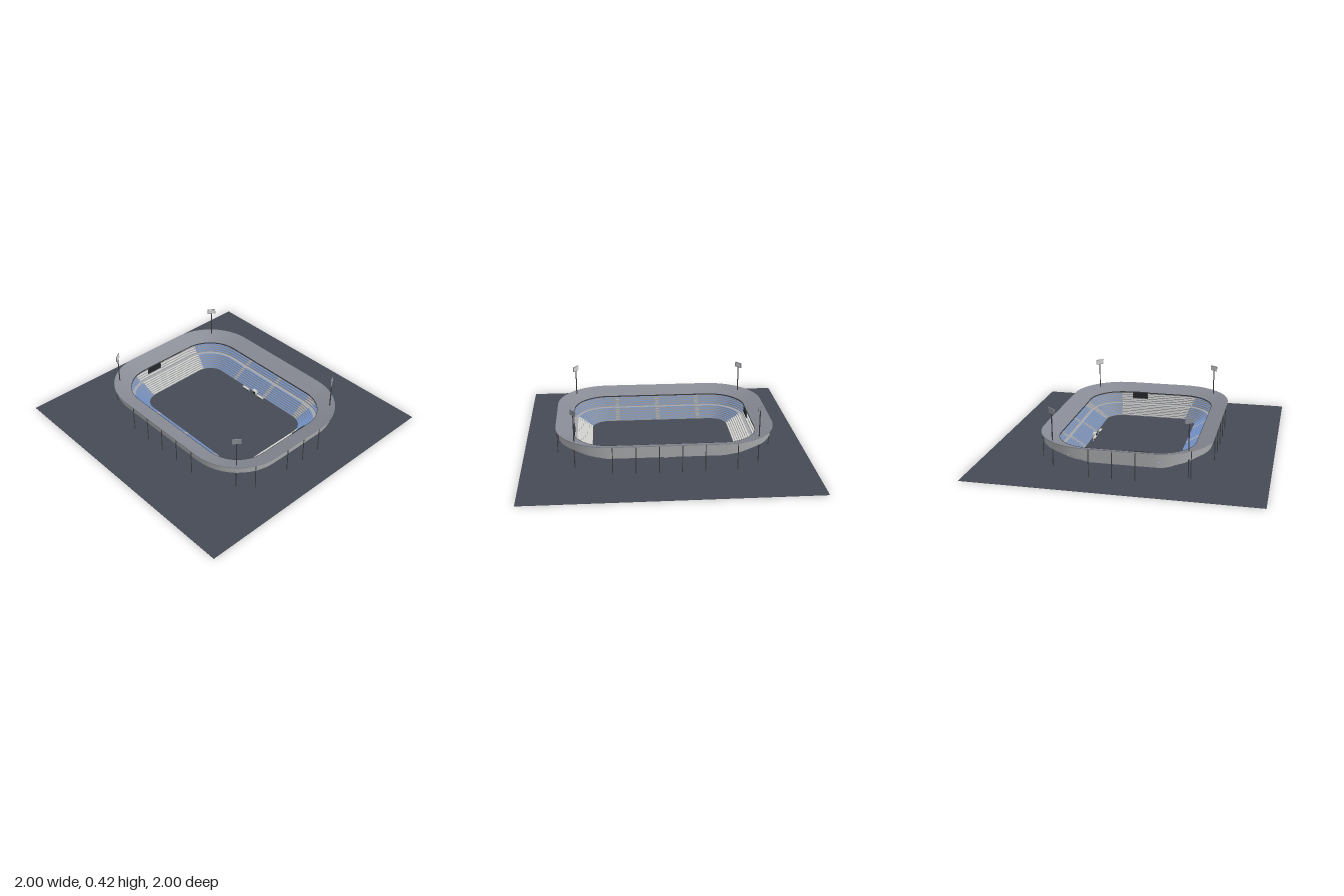
import * as THREE from 'three';
import { mergeGeometries, toCreasedNormals } from 'three/addons/utils/BufferGeometryUtils.js';

const HX = 0.39, HZ = 0.225;                       // straight half lengths
const CORNERS = [[-1, 1], [1, 1], [1, -1], [-1, -1]];

// Point on the rounded rectangle at distance r outside its core.
// t runs 0..8 round the bowl: even spans are straights, odd spans are corners.
function at(t, r) {
  t = ((t % 8) + 8) % 8;
  const k = Math.floor(t), f = t - k, i = k >> 1;
  const a = CORNERS[i], b = CORNERS[(i + 1) % 4];
  const g = k % 2 ? 1 : f;
  const phi = (i + (k % 2 ? f : 0)) * Math.PI / 2;
  return [
    HX * (a[0] + (b[0] - a[0]) * g) + r * Math.sin(phi),
    HZ * (a[1] + (b[1] - a[1]) * g) + r * Math.cos(phi),
  ];
}

// Sweep an [r, y] profile along the outline from t0 to t1.
function sweep(profile, t0 = 0, t1 = 8) {
  const ts = [t0];
  for (let n = Math.floor(t0 * 12) + 1; n / 12 < t1 - 1e-6; n++) {
    const k = Math.floor(n / 12);
    if (n % 12 === 0 || Math.abs(k % 2) === 1) ts.push(n / 12);
  }
  ts.push(t1);
  const pos = [], idx = [], m = profile.length;
  ts.forEach((t, j) => {
    for (const [r, y] of profile) {
      const [x, z] = at(t, r);
      pos.push(x, y, z);
    }
    if (j === 0) return;
    for (let p = 0; p < m - 1; p++) {
      const a = (j - 1) * m + p, b = j * m + p;
      idx.push(a, b, a + 1, b, b + 1, a + 1);
    }
  });
  const geo = new THREE.BufferGeometry();
  geo.setAttribute('position', new THREE.Float32BufferAttribute(pos, 3));
  geo.setIndex(idx);
  return toCreasedNormals(geo, 0.35);
}

export function createModel() {
  const model = new THREE.Group();
  const mat = (name, color) => {
    const m = new THREE.MeshStandardMaterial({ color, side: THREE.DoubleSide });
    m.name = name;
    return m;
  };
  const asphalt = mat('asphalt', 0x444a54);
  const concrete = mat('concrete', 0xa5a6a9);
  const roofGrey = mat('roof grey', 0x878a94);
  const blue = mat('blue seats', 0x6f8cbf);
  const white = mat('white seats', 0xd0d0cd);
  const steel = mat('dark steel', 0x3c3d40);
  const screen = mat('screen', 0x24272c);

  const add = (name, geo, material, parent = model) => {
    const mesh = new THREE.Mesh(geo, material);
    mesh.name = name;
    parent.add(mesh);
    return mesh;
  };
  const box = (name, size, p, material, parent) => {
    const mesh = add(name, new THREE.BoxGeometry(...size), material, parent);
    mesh.position.set(...p);
    return mesh;
  };

  box('ground', [2, 0.002, 2], [0, 0.001, 0], asphalt);

  // Stepped rows of the lower and upper tiers
  const treads = [], risers = [];
  const tier = (rows, r0, r1, y0, y1) => {
    const d = (r1 - r0) / rows, h = (y1 - y0) / rows;
    for (let i = 0; i < rows; i++) {
      const r = r0 + i * d, y = y0 + (i + 1) * h;
      risers.push([[r, y - h], [r, y]]);
      treads.push([[r, y], [r + d, y]]);
    }
  };
  tier(8, 0.125, 0.233, 0, 0.07);
  tier(7, 0.257, 0.36, 0.07, 0.14);
  add('risers', mergeGeometries(risers.map((p) => sweep(p))), concrete);
  add('walkway', sweep([[0.233, 0.07], [0.257, 0.07]]), concrete);
  add('backWall', sweep([[0.36, 0.14], [0.36, 0.194]]), concrete);

  // Seating blocks between the aisles
  const w = 0.019;
  const cuts = [
    [-0.89, blue], [0.103 - w, concrete], [0.103 + w, blue], [0.506 - w, concrete],
    [0.506 + w, blue], [0.91 - w, concrete], [0.91 + w, blue], [1.83, white],
    [3.14, blue], [3.81, concrete], [4.006, blue], [4.391 - w, concrete],
    [4.391 + w, blue], [4.801 - w, concrete], [4.801 + w, blue], [5.8, white], [7.11, null],
  ];
  for (let i = 0; i < cuts.length - 1; i++) {
    const [t0, material] = cuts[i];
    const geo = mergeGeometries(treads.map((p) => sweep(p, t0, cuts[i + 1][0])));
    add(material === concrete ? 'aisle' : 'seatBlock', geo, material);
  }

  // Roof ring sloping down towards the pitch, with a dark inner trim
  add('roof', sweep([[0.257, 0.154], [0.257, 0.16], [0.38, 0.205], [0.38, 0.199], [0.257, 0.154]]), roofGrey);
  add('roofTrim', sweep([[0.254, 0.153], [0.254, 0.161], [0.257, 0.161], [0.257, 0.153]]), steel);

  // Slim columns under the outer roof edge
  const spans = [2 * HX, 0.1335, 2 * HZ, 0.1335, 2 * HX, 0.1335, 2 * HZ, 0.1335];
  const total = spans.reduce((a, b) => a + b);
  const columns = new THREE.Group();
  columns.name = 'columns';
  model.add(columns);
  for (let i = 0; i < 19; i++) {
    let s = (0.405 + i * total / 19) % total, k = 0;
    while (s > spans[k]) s -= spans[k++];
    const [x, z] = at(k + s / spans[k], 0.372);
    const column = add('column', new THREE.CylinderGeometry(0.003, 0.003, 0.2, 8), steel, columns);
    column.position.set(x, 0.1, z);
  }

  // Floodlight masts at the corners
  for (const sx of [-1, 1]) for (const sz of [-1, 1]) {
    const mast = new THREE.Group();
    mast.name = 'floodlight';
    mast.position.set(sx * 0.635, 0, sz * 0.465);
    mast.rotation.y = Math.atan2(-sx * 0.635, -sz * 0.465);
    const pole = add('pole', new THREE.CylinderGeometry(0.004, 0.004, 0.38, 8), steel, mast);
    pole.position.y = 0.19;
    box('lampPanel', [0.062, 0.038, 0.006], [0, 0.4, 0], roofGrey, mast);
    box('lampFace', [0.054, 0.03, 0.002], [0, 0.4, 0.0035], white, mast);
    model.add(mast);
  }

  // Scoreboards hung from the roof edge at both ends
  for (const s of [-1, 1]) {
    const board = new THREE.Group();
    board.name = 'scoreboard';
    board.position.set(s * 0.642, 0.137, -s * 0.13);
    board.rotation.y = -s * Math.PI / 2;
    box('frame', [0.125, 0.055, 0.006], [0, 0, 0], steel, board);
    box('screen', [0.112, 0.043, 0.002], [0, 0, 0.004], screen, board);
    model.add(board);
  }

  // Team shelters and the tunnel on the far touchline
  for (const x of [-0.08, 0.072]) {
    box('shelterRoof', [0.06, 0.003, 0.017], [x, 0.024, -0.32], white);
    box('shelterBack', [0.06, 0.022, 0.003], [x, 0.013, -0.327], white);
    box('bench', [0.052, 0.004, 0.007], [x, 0.009, -0.321], steel);
  }
  box('tunnel', [0.038, 0.026, 0.022], [-0.004, 0.015, -0.343], white);
  box('tunnelOpening', [0.026, 0.019, 0.002], [-0.004, 0.0115, -0.3315], screen);
  return model;
}
